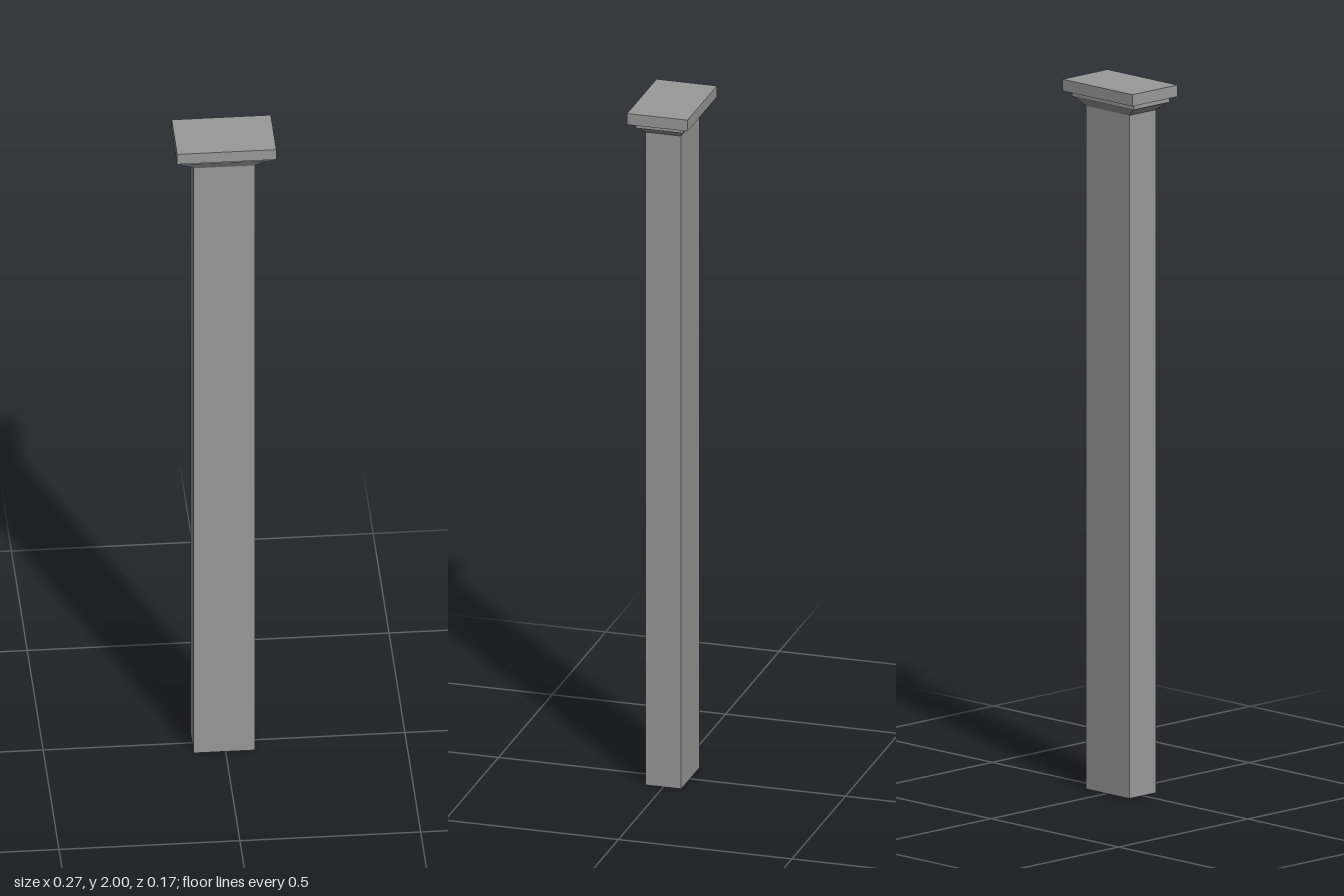
import * as THREE from 'three';

const material = new THREE.MeshStandardMaterial({ color: 0x999999, flatShading: true, side: THREE.DoubleSide });

// Rectangular block from y0 to y1; bottom and top are [width, depth].
// openEnds drops the top and bottom faces.
function block(name, y0, y1, bottom, top, x = 0, openEnds = false) {
  let geo = new THREE.BoxGeometry(1, 1, 1);
  const pos = geo.attributes.position;
  for (let i = 0; i < pos.count; i++) {
    const upper = pos.getY(i) > 0;
    const [w, d] = upper ? top : bottom;
    pos.setXYZ(i, pos.getX(i) * w + x, upper ? y1 : y0, pos.getZ(i) * d);
  }
  if (openEnds) {
    // faces are ordered +x, -x, +y, -y, +z, -z with six indices each
    const index = Array.from(geo.index.array);
    geo.setIndex([...index.slice(0, 12), ...index.slice(24)]);
  }
  geo = geo.toNonIndexed();
  geo.computeVertexNormals();
  const mesh = new THREE.Mesh(geo, material);
  mesh.name = name;
  return mesh;
}

export function createModel() {
  const group = new THREE.Group();
  group.name = 'pillar';

  const shaft = [0.169, 0.103];
  const ledge = [0.242, 0.138];
  const slab = [0.274, 0.174];
  const shift = -0.004; // the shaft sits slightly off the slab's centre

  // Hollow shaft, open at the foot
  group.add(block('shaft', 0, 1.928, shaft, shaft, shift, true));
  // Capital: flared neck, narrow ledge, wide slab
  group.add(block('capitalNeck', 1.928, 1.952, shaft, [0.232, 0.134], shift, true));
  group.add(block('capitalLedge', 1.952, 1.967, ledge, ledge, -0.003));
  group.add(block('capitalSlab', 1.967, 2, slab, slab));

  return group;
}
